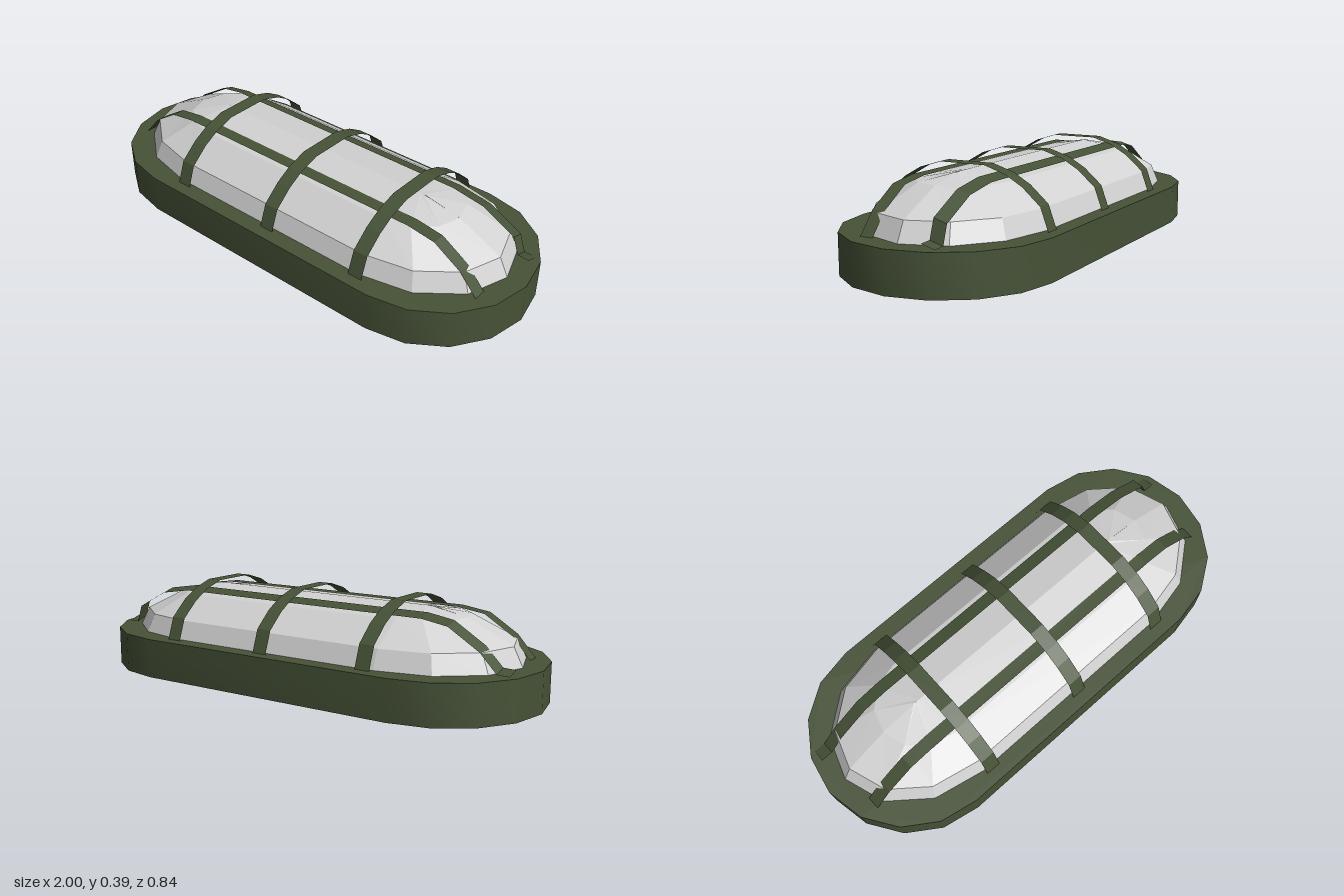
import * as THREE from 'three';
import { toCreasedNormals } from 'three/addons/utils/BufferGeometryUtils.js';

const green = new THREE.MeshStandardMaterial({ color: 0x465237 });
green.name = 'olive green';
green.side = THREE.DoubleSide;
const glass = new THREE.MeshStandardMaterial({ color: 0xd2d2d2 });
glass.name = 'pale grey glass';
glass.flatShading = true;

// Stadium outline: two half ellipses joined by straight sides, as [x, z]
function outline(hx, hz, straight, steps = 4) {
  const pts = [];
  for (const end of [1, -1]) {
    for (let i = 0; i <= steps * 2; i++) {
      const a = -Math.PI / 2 + (i / (steps * 2)) * Math.PI;
      pts.push([end * (straight + (hx - straight) * Math.cos(a)), end * hz * Math.sin(a)]);
    }
  }
  return pts;
}

function add(group, name, geometry, material) {
  const mesh = new THREE.Mesh(geometry, material);
  mesh.name = name;
  group.add(mesh);
}

// Faceted dome lofted through stadium rings that close to a ridge
function domeGeometry() {
  const levels = [[0.16, 0.92, 0.35], [0.24, 0.88, 0.318], [0.33, 0.69, 0.19], [0.361, 0.53, 0]];
  const rings = levels.map(([y, hx, hz]) =>
    outline(hx, hz, 0.48, 3).map(([x, z]) => [x, y, z]));
  const pos = [];
  for (let k = 0; k < rings.length - 1; k++) {
    const lower = rings[k], upper = rings[k + 1], n = lower.length;
    for (let i = 0; i < n; i++) {
      const j = (i + 1) % n;
      pos.push(...lower[i], ...upper[i], ...upper[j], ...lower[i], ...upper[j], ...lower[j]);
    }
  }
  const g = new THREE.BufferGeometry();
  g.setAttribute('position', new THREE.Float32BufferAttribute(pos, 3));
  g.computeVertexNormals();
  return g;
}

// Thin ribbon along x following [x, y] points; tilt lowers its -z edge
function ribbon(path, width, tilt = 0) {
  const pos = [], w = width / 2;
  for (let i = 0; i < path.length - 1; i++) {
    const [x0, y0] = path[i], [x1, y1] = path[i + 1];
    const a = [x0, y0 + tilt, w], b = [x1, y1 + tilt, w];
    const c = [x1, y1 - tilt, -w], d = [x0, y0 - tilt, -w];
    pos.push(...a, ...b, ...c, ...a, ...c, ...d);
  }
  const g = new THREE.BufferGeometry();
  g.setAttribute('position', new THREE.Float32BufferAttribute(pos, 3));
  g.computeVertexNormals();
  return g;
}

const mirrored = half => [...half.map(([x, y]) => [-x, y]), ...half.slice().reverse()];

export function createModel() {
  const group = new THREE.Group();

  // Solid base
  const shape = new THREE.Shape(outline(1, 0.42, 0.58).map(([x, z]) => new THREE.Vector2(x, z)));
  const base = new THREE.ExtrudeGeometry(shape, { depth: 0.164, bevelEnabled: false });
  base.rotateX(-Math.PI / 2);
  add(group, 'base', toCreasedNormals(base, 0.7), green);

  // Glass cover
  add(group, 'glassCover', domeGeometry(), glass);

  // Straps across the width
  const across = mirrored([[0.37, 0.16], [0.335, 0.255], [0.26, 0.32], [0.19, 0.36], [0.1, 0.388]]);
  for (const x of [-0.445, 0.032, 0.483]) {
    const g = ribbon(across, 0.064);
    g.rotateY(Math.PI / 2);
    g.translate(x, 0, 0);
    add(group, 'crossStrap', g, green);
  }

  // Straps along the length
  const front = ribbon(mirrored([[0.895, 0.165], [0.82, 0.25], [0.7, 0.325], [0.58, 0.342]]), 0.055);
  front.translate(0, 0, 0.152);
  add(group, 'frontLongStrap', front, green);

  const back = ribbon([[-0.94, 0.175], [-0.89, 0.177], [-0.82, 0.25], [-0.69, 0.33], [-0.58, 0.348],
    [0.58, 0.348], [0.72, 0.325], [0.865, 0.25], [0.89, 0.177], [0.94, 0.175]], 0.055, 0.008);
  back.translate(0, 0, -0.143);
  add(group, 'backLongStrap', back, green);

  return group;
}
